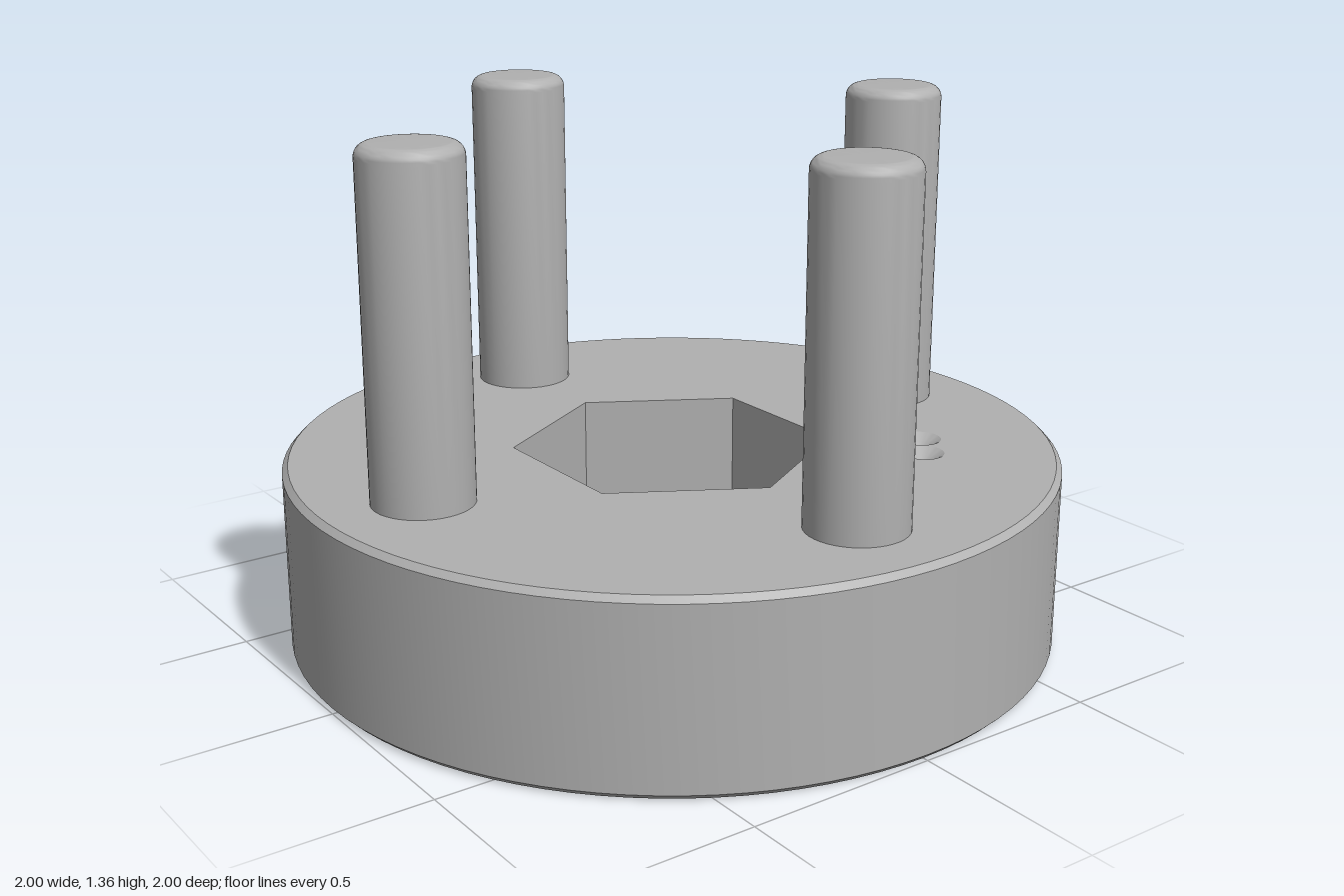
import * as THREE from 'three';
import { toCreasedNormals } from 'three/addons/utils/BufferGeometryUtils.js';

const HEIGHT = 0.485, CHAMFER = 0.015, HEX = 0.412;
const DIMPLES = [[0.353, -0.548], [0.439, -0.479]], DIMPLE_R = 0.054;
const PIN_R = 0.128, PIN_TOP = 1.355, PIN_FILLET = 0.032, PIN_OFFSET = 0.733;

// Revolved profile with sharp edges kept sharp
function lathe(points, segments, start = 0) {
  const profile = points.map(([x, y]) => new THREE.Vector2(x, y));
  return toCreasedNormals(new THREE.LatheGeometry(profile, segments, start), 0.5);
}

// Flat ring face with the hexagonal opening and optional round holes
function faceShape(holes) {
  const shape = new THREE.Shape().absarc(0, 0, 1 - CHAMFER, 0, Math.PI * 2);
  const corners = Array.from({ length: 6 }, (_, i) =>
    new THREE.Vector2(HEX * Math.cos(i * Math.PI / 3), HEX * Math.sin(i * Math.PI / 3)));
  shape.holes.push(new THREE.Path(corners));
  for (const [x, z] of holes) {
    shape.holes.push(new THREE.Path().absarc(x, -z, DIMPLE_R, 0, Math.PI * 2));
  }
  return new THREE.ShapeGeometry(shape, 48);
}

export function createModel() {
  const model = new THREE.Group();
  model.name = 'pinnedHub';
  const steel = new THREE.MeshStandardMaterial({ color: 0xb0b0b0 });
  steel.name = 'steel grey';

  function add(name, geometry, x = 0, y = 0, z = 0) {
    const mesh = new THREE.Mesh(geometry, steel);
    mesh.name = name;
    mesh.position.set(x, y, z);
    model.add(mesh);
  }

  // Disc: chamfered rim, hexagonal bore, upper and lower faces
  add('discRim', lathe([
    [1 - CHAMFER, 0], [1, CHAMFER], [1, HEIGHT - CHAMFER], [1 - CHAMFER, HEIGHT],
  ], 96));
  add('hexBore', lathe([[HEX, HEIGHT], [HEX, 0]], 6, Math.PI / 2));
  add('discTop', faceShape(DIMPLES).rotateX(-Math.PI / 2), 0, HEIGHT, 0);
  add('discBottom', faceShape([]).rotateX(Math.PI / 2));

  // Two conical punch marks in the upper face
  const dimple = lathe([[DIMPLE_R, 0], [0, -0.033]], 48);
  DIMPLES.forEach(([x, z], i) => add(`dimple${i + 1}`, dimple, x, HEIGHT, z));

  // Four upright pins with rounded top edges
  const profile = [[PIN_R, HEIGHT - 0.02], [PIN_R, PIN_TOP - PIN_FILLET - 0.003]];
  for (let i = 0; i <= 8; i++) {
    const a = i / 8 * Math.PI / 2;
    profile.push([
      PIN_R - PIN_FILLET + PIN_FILLET * Math.cos(a),
      PIN_TOP - PIN_FILLET + PIN_FILLET * Math.sin(a),
    ]);
  }
  profile.push([PIN_R - PIN_FILLET - 0.003, PIN_TOP], [0, PIN_TOP]);
  const pin = lathe(profile, 40);
  ['frontPin', 'leftPin', 'backPin', 'rightPin'].forEach((name, i) => {
    const a = i * Math.PI / 2;
    add(name, pin, PIN_OFFSET * Math.sin(a), 0, PIN_OFFSET * Math.cos(a));
  });

  return model;
}
